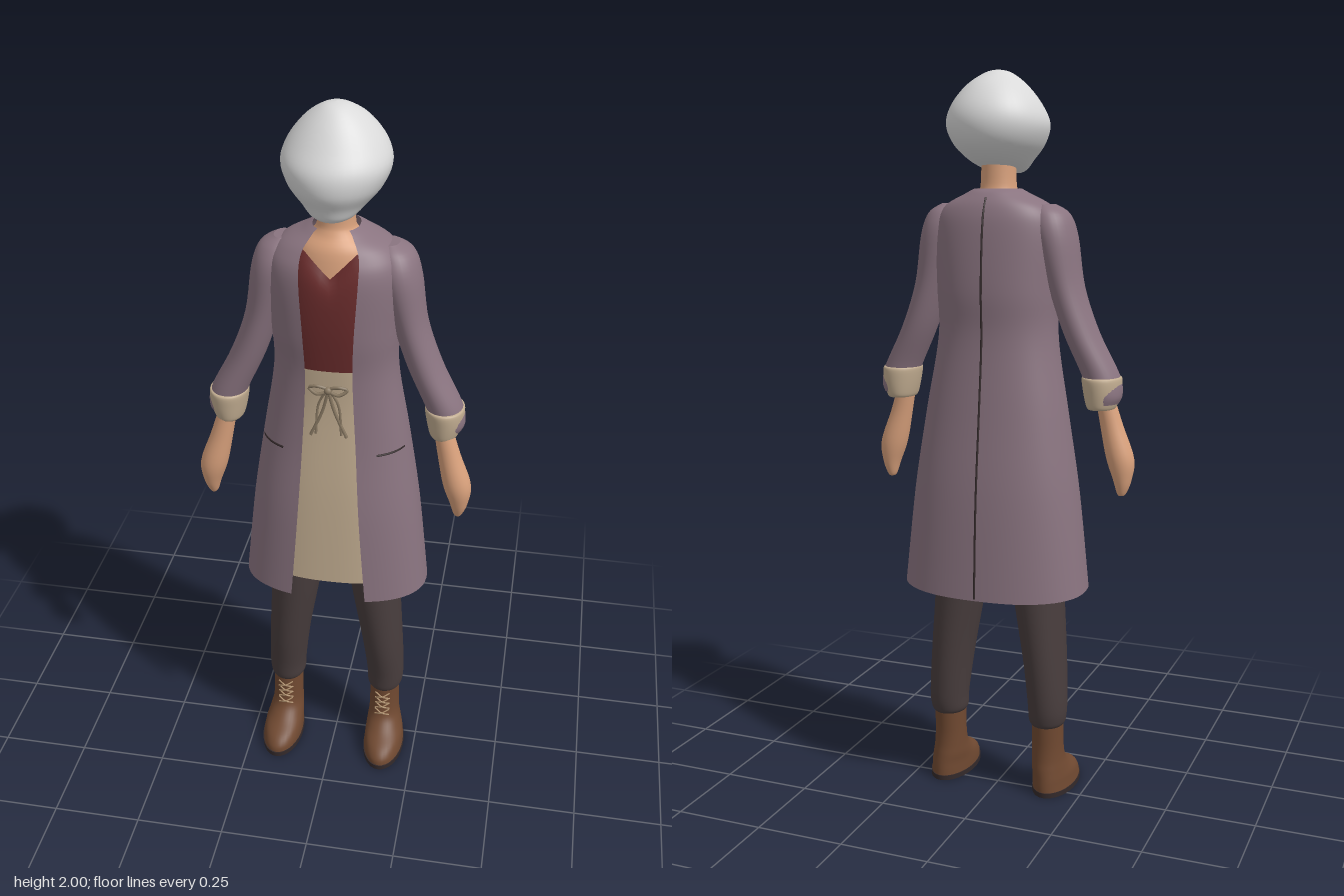
import * as THREE from 'three';

const mat = (name, color, side = THREE.FrontSide) => {
  const m = new THREE.MeshStandardMaterial({ color, side });
  m.name = name;
  return m;
};

// Catmull-Rom interpolation of section rows
function smooth(rows, n = 5) {
  const out = [];
  for (let j = 0; j < rows.length - 1; j++) {
    const a = rows[Math.max(j - 1, 0)], b = rows[j], c = rows[j + 1], d = rows[Math.min(j + 2, rows.length - 1)];
    for (let k = 0; k < n; k++) {
      const t = k / n;
      out.push(b.map((v, i) => v + 0.5 * t * (c[i] - a[i] + t * (2 * a[i] - 5 * v + 4 * c[i] - d[i] + t * (3 * (v - c[i]) + d[i] - a[i])))));
    }
  }
  out.push(rows[rows.length - 1]);
  return out;
}

// A row is [y, centreX, halfWidth, frontZ, backZ, gapHalfWidth]; angle 0 is the front
const spow = (v, p) => Math.sign(v) * Math.abs(v) ** p;
const rowPoint = ([y, cx, rx, zf, zb], a, p) => new THREE.Vector3(
  cx + rx * spow(Math.sin(a), p), y, (zf + zb) / 2 + (zf - zb) / 2 * spow(Math.cos(a), p));
const gapAngle = (half, rx, p) => Math.asin(Math.min(1, half / rx) ** (1 / p));

// Skin through rows listed from top to bottom. mode: closed, open (gap in front) or panel (front only)
function loft(rows, { mode = 'closed', p = 1, seg = 32, warp = null, caps = true } = {}) {
  const pos = [], idx = [], closed = mode === 'closed', n = closed ? seg : seg + 1;
  for (const r of rows) {
    const g = closed ? 0 : gapAngle(r[5], r[2], p);
    const [a0, a1] = mode === 'panel' ? [-g, g] : [g, 2 * Math.PI - g];
    for (let i = 0; i < n; i++) {
      const v = rowPoint(r, a0 + (a1 - a0) * i / seg, p);
      if (warp) warp(v);
      pos.push(v.x, v.y, v.z);
    }
  }
  for (let j = 0; j < rows.length - 1; j++) for (let i = 0; i < seg; i++) {
    const k = (i + 1) % n, a = j * n + i, b = j * n + k, c = a + n, d = b + n;
    idx.push(a, c, d, a, d, b);
  }
  // Flat end caps with their own rim vertices
  if (closed && caps) for (const j of [0, rows.length - 1]) {
    const r = rows[j], base = pos.length / 3;
    pos.push(r[1], r[0], (r[3] + r[4]) / 2);
    for (let i = 0; i < n; i++) pos.push(...pos.slice((j * n + i) * 3, (j * n + i) * 3 + 3));
    for (let i = 0; i < n; i++) {
      const a = base + 1 + i, b = base + 1 + (i + 1) % n;
      if (j === 0) idx.push(base, a, b); else idx.push(base, b, a);
    }
  }
  const g = new THREE.BufferGeometry();
  g.setAttribute('position', new THREE.Float32BufferAttribute(pos, 3));
  g.setIndex(idx);
  g.computeVertexNormals();
  return g;
}

const cord = (pts, r, closed = false) =>
  new THREE.TubeGeometry(new THREE.CatmullRomCurve3(pts.map(q => new THREE.Vector3(...q)), closed), 24, r, 6, closed);

export function createModel() {
  const M = {
    head: mat('pale grey', 0xdadada),
    skin: mat('skin', 0xd9a17c),
    coat: mat('mauve coat', 0x8a7480, THREE.DoubleSide),
    shirt: mat('dark red shirt', 0x6a2c2c, THREE.DoubleSide),
    apron: mat('beige linen', 0xc2ad91, THREE.DoubleSide),
    tie: mat('apron tie', 0x8a7a64),
    trousers: mat('dark trousers', 0x483d3d),
    boot: mat('brown leather', 0x704931),
    dark: mat('dark trim', 0x33292a),
    lace: mat('laces', 0xb0906c),
  };
  const model = new THREE.Group();
  const add = (name, geo, m, parent = model) => {
    const mesh = new THREE.Mesh(geo, m);
    mesh.name = name;
    parent.add(mesh);
    return mesh;
  };

  // Head, drawn forward to the chin
  add('head', loft(smooth([
    [2.0, 0, 0.002, 0.004, 0], [1.992, 0, 0.035, 0.04, -0.035], [1.96, 0, 0.08, 0.076, -0.09], [1.91, 0, 0.12, 0.114, -0.13],
    [1.86, 0, 0.137, 0.145, -0.142], [1.81, 0, 0.12, 0.147, -0.125], [1.77, 0, 0.086, 0.128, -0.075],
    [1.745, 0, 0.058, 0.118, 0.0], [1.735, 0, 0.035, 0.108, 0.045],
  ]), { seg: 40 }), M.head);

  // Neck and upper chest
  add('neckAndChest', loft(smooth([
    [1.79, 0, 0.047, 0.055, -0.04], [1.71, 0, 0.048, 0.052, -0.042], [1.68, 0, 0.058, 0.062, -0.05],
    [1.64, 0, 0.1, 0.088, -0.065], [1.55, 0, 0.12, 0.105, -0.08],
  ])), M.skin);

  // Shirt with a V neck
  add('shirt', loft(smooth([
    [1.655, 0, 0.115, 0.1, -0.07, 0], [1.58, 0, 0.14, 0.119, -0.09, 0], [1.45, 0, 0.145, 0.121, -0.1, 0],
    [1.3, 0, 0.14, 0.105, -0.1, 0],
  ]), {
    seg: 48, p: 0.85, caps: false,
    warp: v => { if (v.z > 0 && v.y > 1.5) v.y -= Math.max(0, 0.07 - Math.abs(v.x)) * (v.y - 1.5) / 0.15; },
  }), M.shirt);

  // Apron panel
  add('apron', loft(smooth([
    [1.335, 0, 0.15, 0.122, -0.1, 0.085], [1.2, 0, 0.165, 0.117, -0.11, 0.09], [0.95, 0, 0.21, 0.132, -0.13, 0.1],
    [0.67, 0, 0.24, 0.138, -0.15, 0.105],
  ]), { mode: 'panel', p: 0.85, seg: 16 }), M.apron);

  // Tied bow with hanging ends
  const bow = new THREE.Group();
  bow.name = 'apronBow';
  model.add(bow);
  add('bowKnot', new THREE.SphereGeometry(0.011, 12, 8), M.tie, bow).position.set(0, 1.285, 0.132);
  for (const s of [-1, 1]) {
    add('bowLoop', cord([[0, 1.286, 0.13], [s * 0.028, 1.298, 0.135], [s * 0.05, 1.29, 0.13], [s * 0.028, 1.275, 0.135]], 0.0045, true), M.tie, bow);
    add('bowEnd', cord([[0, 1.285, 0.13], [s * 0.016, 1.22, 0.125], [s * 0.048, 1.145, 0.126]], 0.0045), M.tie, bow);
    add('bowEnd', cord([[s * 0.004, 1.285, 0.13], [s * 0.026, 1.24, 0.125], [s * 0.034, 1.15, 0.126]], 0.0035), M.tie, bow);
  }

  // Long coat, open down the front
  const P = 0.87;
  const coatRows = smooth([
    [1.695, 0, 0.06, 0.064, -0.062, 0.04], [1.682, 0, 0.085, 0.08, -0.08, 0.052], [1.645, 0, 0.15, 0.112, -0.102, 0.072],
    [1.58, 0, 0.175, 0.137, -0.115, 0.074], [1.43, 0, 0.168, 0.139, -0.124, 0.065], [1.3, 0, 0.165, 0.127, -0.12, 0.062],
    [1.1, 0, 0.198, 0.13, -0.14, 0.072], [0.88, 0, 0.232, 0.149, -0.164, 0.085], [0.62, 0, 0.262, 0.157, -0.178, 0.105],
  ], 6);
  const hem = v => { if (v.y < 0.9) v.y -= 0.018 * (0.9 - v.y) / 0.28 * THREE.MathUtils.clamp(0.5 - v.z * 3, 0, 1); };
  add('coat', loft(coatRows, { mode: 'open', p: P, seg: 56, warp: hem }), M.coat);
  add('coatBackSeam', cord(coatRows.slice(8).map(r => [0, r[0] - (r[0] < 0.7 ? 0.012 : 0), r[4] - 0.001]), 0.003), M.dark);

  // Pocket openings laid on the coat front
  const pocketRow = coatRows.reduce((a, b) => Math.abs(b[0] - 1.085) < Math.abs(a[0] - 1.085) ? b : a);
  for (const s of [-1, 1]) {
    const pts = [0.125, 0.145, 0.165, 0.18, 0.19].map(x => {
      const v = rowPoint(pocketRow, gapAngle(x, pocketRow[2], P), P);
      return [s * v.x, 1.085, v.z + 0.001];
    });
    add('pocketOpening', cord(pts, 0.0035), M.dark);
  }

  // Hips
  add('hips', loft(smooth([
    [1.3, 0, 0.13, 0.09, -0.095], [1.05, 0, 0.16, 0.095, -0.115], [0.9, 0, 0.165, 0.09, -0.11], [0.8, 0, 0.12, 0.06, -0.07],
  ])), M.trousers);

  for (const s of [-1, 1]) {
    const side = s > 0 ? 'left' : 'right';
    const limb = (rows, opt) => loft(smooth(rows.map(r => [r[0], s * r[1], ...r.slice(2)])), opt);

    // Sleeve, turned cuff and hand
    add(side + 'Sleeve', limb([
      [1.655, 0.138, 0.022, 0.035, -0.03], [1.63, 0.148, 0.05, 0.066, -0.058], [1.57, 0.163, 0.056, 0.085, -0.072],
      [1.44, 0.193, 0.046, 0.076, -0.062], [1.32, 0.235, 0.047, 0.072, -0.055], [1.21, 0.288, 0.05, 0.073, -0.046],
      [1.16, 0.301, 0.047, 0.07, -0.048], [1.135, 0.298, 0.042, 0.06, -0.045],
    ]), M.coat);
    add(side + 'Cuff', limb([
      [1.205, 0.291, 0.046, 0.068, -0.042], [1.2, 0.292, 0.053, 0.08, -0.053], [1.165, 0.294, 0.05, 0.078, -0.053],
      [1.13, 0.293, 0.041, 0.072, -0.048], [1.12, 0.293, 0.036, 0.065, -0.042],
    ]), M.apron);
    add(side + 'Hand', limb([
      [1.15, 0.292, 0.025, 0.068, 0.012], [1.07, 0.312, 0.031, 0.074, 0.012], [0.98, 0.337, 0.038, 0.083, 0.006],
      [0.92, 0.345, 0.025, 0.072, 0.014], [0.882, 0.344, 0.012, 0.056, 0.026], [0.876, 0.344, 0.003, 0.048, 0.036],
    ], { seg: 24 }), M.skin);

    // Trouser leg gathered at the ankle
    add(side + 'TrouserLeg', limb([
      [0.95, 0.085, 0.082, 0.09, -0.105], [0.78, 0.1, 0.078, 0.1, -0.085], [0.6, 0.116, 0.071, 0.1, -0.075],
      [0.4, 0.139, 0.06, 0.088, -0.072], [0.27, 0.15, 0.055, 0.068, -0.066], [0.22, 0.15, 0.052, 0.062, -0.058],
      [0.205, 0.15, 0.045, 0.055, -0.05],
    ]), M.trousers);

    // Boot, sole and crossed laces
    add(side + 'Boot', limb([
      [0.225, 0.15, 0.044, 0.056, -0.05], [0.15, 0.15, 0.044, 0.057, -0.045], [0.105, 0.151, 0.046, 0.067, -0.046],
      [0.075, 0.153, 0.051, 0.1, -0.05], [0.05, 0.156, 0.056, 0.15, -0.053], [0.03, 0.157, 0.058, 0.172, -0.055],
      [0.012, 0.158, 0.059, 0.177, -0.056],
    ]), M.boot);
    add(side + 'Sole', limb([[0.014, 0.158, 0.061, 0.18, -0.058], [0, 0.158, 0.061, 0.18, -0.058]]), M.dark);
    for (let k = 0; k < 4; k++) for (const t of [-1, 1]) {
      const y = 0.115 + k * 0.02, z = k ? 0.058 : 0.064;
      add(side + 'Lace', cord([[s * 0.15 - t * 0.022, y, z - 0.005], [s * 0.15, y + 0.01, z + 0.003], [s * 0.15 + t * 0.022, y + 0.02, z - 0.007]], 0.0022), M.lace);
    }
  }
  return model;
}
